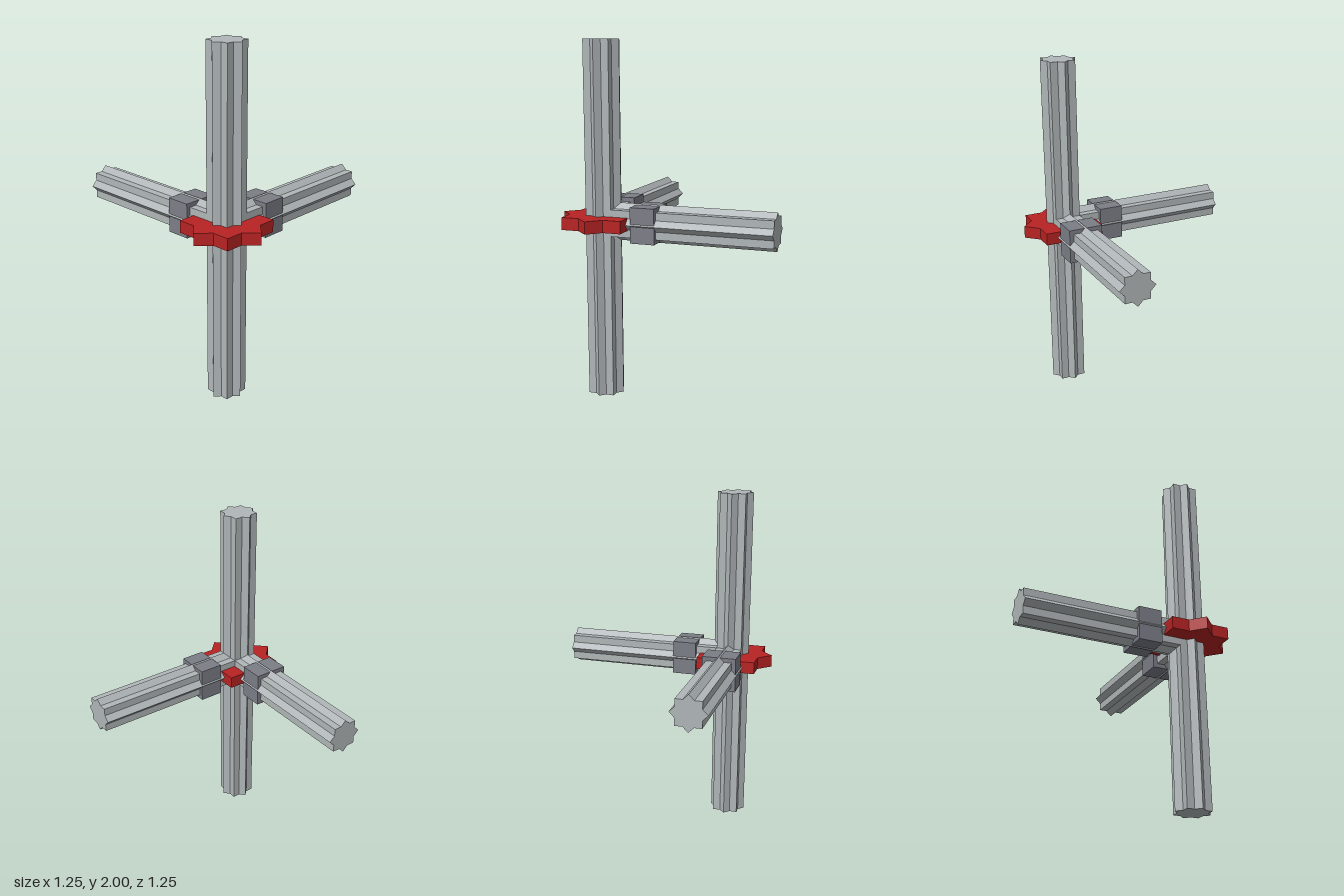
import * as THREE from 'three';

const CENTER = new THREE.Vector3(0.375, 1, 0.375); // where the three bars meet

// Eight-pointed star: two squares of half-side h, one turned by 45 degrees
function starPrism(h, length) {
  const outer = h * Math.SQRT2;
  const inner = Math.hypot(h, outer - h);
  const points = [];
  for (let i = 0; i < 16; i++) {
    const a = (i * Math.PI) / 8;
    const r = i % 2 ? inner : outer;
    points.push(new THREE.Vector2(r * Math.cos(a), r * Math.sin(a)));
  }
  return new THREE.ExtrudeGeometry(new THREE.Shape(points), { depth: length, bevelEnabled: false });
}

export function createModel() {
  const barGrey = new THREE.MeshStandardMaterial({ name: 'barGrey', color: 0xb0b6b8 });
  const clampGrey = new THREE.MeshStandardMaterial({ name: 'clampGrey', color: 0x7c7e87 });
  const red = new THREE.MeshStandardMaterial({ name: 'red', color: 0xb82323 });

  const model = new THREE.Group();
  model.name = 'starBarJoint';

  const add = (parent, name, geometry, material) => {
    const mesh = new THREE.Mesh(geometry, material);
    mesh.name = name;
    parent.add(mesh);
    return mesh;
  };

  // Upright post, full height
  const post = add(model, 'post', starPrism(0.075, 2).rotateX(-Math.PI / 2), barGrey);
  post.position.set(CENTER.x, 0, CENTER.z);

  // Red star collar around the joint
  const collar = add(model, 'starCollar', starPrism(0.175, 0.07).rotateX(-Math.PI / 2), red);
  collar.position.set(CENTER.x, CENTER.y - 0.035, CENTER.z);

  // Horizontal arms, each with a clamp of four blocks; built along +z then turned
  const arms = [['sideArm', -Math.PI / 2], ['backArm', Math.PI]];
  for (const [name, turn] of arms) {
    const arm = new THREE.Group();
    arm.name = name;
    add(arm, name + 'Bar', starPrism(0.075, 1), barGrey);
    for (const sx of [-1, 1]) {
      for (const sy of [-1, 1]) {
        const block = add(arm, name + 'ClampBlock', new THREE.BoxGeometry(0.094, 0.094, 0.14), clampGrey);
        block.position.set(sx * 0.0525, sy * 0.0525, 0.27);
      }
    }
    arm.rotation.y = turn;
    arm.position.copy(CENTER);
    model.add(arm);
  }
  return model;
}
